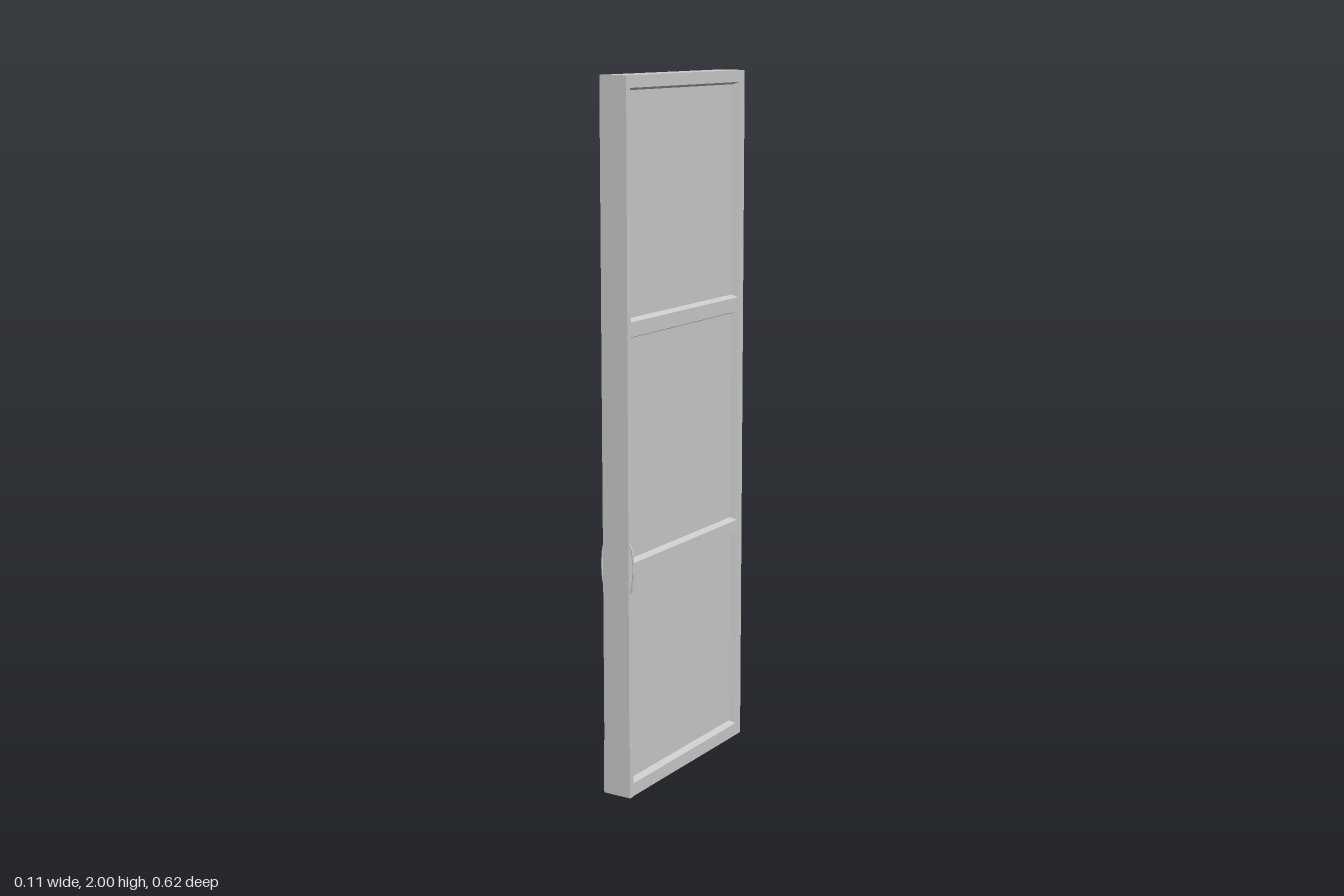
import * as THREE from 'three';

const HX = 0.042;      // half thickness of the door
const HZ = 0.31;       // half width of the door
const DEPTH = 0.02;    // recess of the panels
const BEVEL = 0.007;   // slope of the moulding around each panel
const U0 = -0.285, U1 = 0.275; // panel limits across the door (u = -z)
const ROWS = [[0.045, 0.635], [0.685, 1.3], [1.355, 1.96]];

const material = new THREE.MeshStandardMaterial({ color: 0xcccccc });

function addMesh(parent, geometry, name) {
  const mesh = new THREE.Mesh(geometry, material);
  mesh.name = name;
  parent.add(mesh);
  return mesh;
}

const rect = (u0, y0, u1, y1) => [[u0, y0], [u1, y0], [u1, y1], [u0, y1]];
const points = (corners) => corners.map(([u, y]) => new THREE.Vector2(u, y));

// Four sloping strips from the frame face down to the recessed panel
function mouldingGeometry(outer, inner) {
  const pos = [];
  for (let i = 0; i < 4; i++) {
    const j = (i + 1) % 4;
    const a = [...outer[i], HX], b = [...outer[j], HX];
    const c = [...inner[j], HX - DEPTH], d = [...inner[i], HX - DEPTH];
    pos.push(...a, ...b, ...c, ...a, ...c, ...d);
  }
  const geometry = new THREE.BufferGeometry();
  geometry.setAttribute('position', new THREE.Float32BufferAttribute(pos, 3));
  geometry.computeVertexNormals();
  return geometry;
}

export function createModel() {
  const group = new THREE.Group();
  group.name = 'panelledDoor';

  // Stiles and rails in one piece with three openings
  const shape = new THREE.Shape(points(rect(-HZ, 0, HZ, 2)));
  for (const [y0, y1] of ROWS) {
    shape.holes.push(new THREE.Path(points(rect(U0 - BEVEL, y0 - BEVEL, U1 + BEVEL, y1 + BEVEL))));
  }
  const frame = new THREE.ExtrudeGeometry(shape, { depth: 2 * HX, bevelEnabled: false });
  frame.translate(0, 0, -HX).rotateY(Math.PI / 2);
  addMesh(group, frame, 'frame');

  // Recessed panels, with moulding on both faces
  for (const [y0, y1] of ROWS) {
    const panel = new THREE.BoxGeometry(2 * (HX - DEPTH), y1 - y0, U1 - U0);
    addMesh(group, panel, 'panel').position.set(0, (y0 + y1) / 2, -(U0 + U1) / 2);

    for (const side of [1, -1]) {
      // The far face is turned round, so its u limits swap
      const [a, b] = side > 0 ? [U0, U1] : [-U1, -U0];
      const moulding = mouldingGeometry(
        rect(a - BEVEL, y0 - BEVEL, b + BEVEL, y1 + BEVEL),
        rect(a, y0, b, y1)
      );
      moulding.rotateY(side * Math.PI / 2);
      addMesh(group, moulding, 'moulding');
    }
  }

  // Bowed pull handle and low edge plate on each face
  for (const side of [1, -1]) {
    const bow = [[0.04, 0.595], [0.047, 0.612], [0.0505, 0.64], [0.0515, 0.665],
      [0.0505, 0.69], [0.047, 0.718], [0.04, 0.735]];
    const path = new THREE.CatmullRomCurve3(
      bow.map(([x, y]) => new THREE.Vector3(side * x, y, 0.3))
    );
    const handle = new THREE.TubeGeometry(path, 32, 0.003, 8);
    addMesh(group, handle, 'handle');

    const plate = new THREE.BoxGeometry(0.002, 0.155, 0.018);
    addMesh(group, plate, 'edgePlate').position.set(side * (HX + 0.0008), 0.0775, 0.301);
  }

  return group;
}
